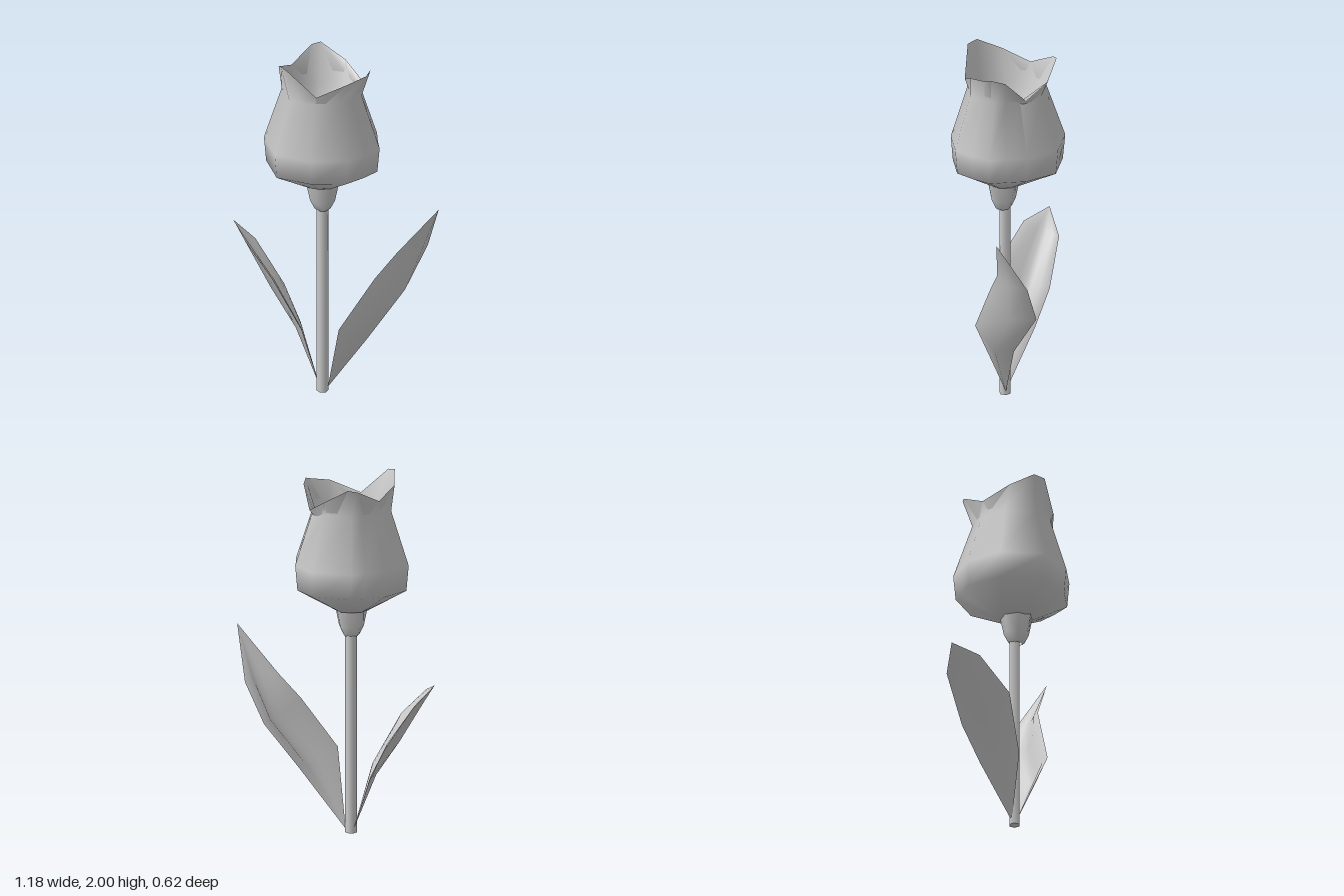
import * as THREE from 'three';
import { toCreasedNormals } from 'three/addons/utils/BufferGeometryUtils.js';

const material = new THREE.MeshStandardMaterial({ color: 0xcccccc, side: THREE.DoubleSide });
const V = (p) => new THREE.Vector3(...p);

// Skin a stack of closed rings (arrays of Vector3), skipping collapsed triangles
function loft(name, rings) {
  const n = rings[0].length;
  const points = rings.flat();
  const index = [];
  const tri = (a, b, c) => {
    const [p, q, r] = [points[a], points[b], points[c]];
    if (p.distanceTo(q) > 1e-6 && q.distanceTo(r) > 1e-6 && r.distanceTo(p) > 1e-6) index.push(a, b, c);
  };
  for (let j = 0; j < rings.length - 1; j++) {
    for (let i = 0; i < n; i++) {
      const a = j * n + i, b = j * n + (i + 1) % n;
      tri(a, a + n, b);
      tri(b, a + n, b + n);
    }
  }
  const geometry = new THREE.BufferGeometry().setFromPoints(points);
  geometry.setIndex(index);
  const mesh = new THREE.Mesh(toCreasedNormals(geometry, 1.4), material);
  mesh.name = name;
  return mesh;
}

// Leaf from [edge, keel, edge] stations: rounded outside, bordered trough inside
function leaf(name, base, stations, tip) {
  const rings = stations.map((s) => {
    const [p, keel, q] = s.map(V);
    const mid = p.clone().lerp(q, 0.5);
    const floor = mid.clone().lerp(keel, 0.6);
    const border = (e) => e.clone().lerp(mid, 0.35);
    const trough = (e) => e.clone().lerp(mid, 0.5).lerp(keel, 0.5);
    return [p, keel, q, border(q), trough(q), floor, trough(p), border(p)];
  });
  const point = (p) => Array.from({ length: 8 }, () => V(p));
  return loft(name, [point(base), ...rings, point(tip)]);
}

// Blossom columns: belly [x, z] and rim [x, y, z], going round from +x to +z
const columns = [
  [0.305, -0.02, 0.25, 1.95, -0.01],
  [0.275, 0.09, 0.245, 1.94, 0.03],
  [0.225, 0.21, 0.185, 1.92, 0.135],
  [0.045, 0.305, 0.04, 1.85, 0.225],
  [-0.06, 0.307, -0.11, 1.99, 0.265],
  [-0.17, 0.31, -0.17, 2.0, 0.235],
  [-0.33, 0.12, -0.24, 1.94, 0.12],
  [-0.32, -0.1, -0.245, 1.88, -0.05],
  [-0.25, -0.2, -0.2, 1.95, -0.2],
  [-0.2, -0.27, -0.16, 1.96, -0.235],
  [0.03, -0.315, -0.01, 1.88, -0.24],
  [0.2, -0.2, 0.13, 1.81, -0.165],
  [0.255, -0.1, 0.22, 1.93, -0.08],
];

function blossom() {
  const cx = -0.03, cz = 0.02;
  const ring = (y, s) => columns.map(([x, z]) => V([cx + (x - cx) * s, y, cz + (z - cz) * s]));
  const rim = columns.map(([, , x, y, z]) => V([x, y, z]));
  const group = new THREE.Group();
  group.name = 'blossom';
  group.add(
    loft('outerPetals', [ring(1.24, 0), ring(1.24, 0.28), ring(1.36, 0.96), ring(1.5, 1), ring(1.8, 0.69), rim]),
    loft('innerPetals', [rim, ring(1.75, 0.62), ring(1.6, 0.55), ring(1.5, 0.3), ring(1.48, 0)]),
  );
  return group;
}

export function createModel() {
  const model = new THREE.Group();
  model.name = 'tulip';

  // Stem
  const stem = new THREE.Mesh(new THREE.CylinderGeometry(0.032, 0.032, 1.12, 6), material);
  stem.name = 'stem';
  stem.position.set(-0.025, 0.56, 0.015);

  // Flared cup under the blossom
  const profile = [[0.032, 1.09], [0.045, 1.1], [0.07, 1.15], [0.093, 1.26]];
  const calyx = new THREE.Mesh(
    new THREE.LatheGeometry(profile.map(([r, y]) => new THREE.Vector2(r, y)), 7), material);
  calyx.name = 'calyx';
  calyx.position.set(-0.02, 0, 0.025);

  // Tall leaf on the left, shorter one on the right, both turned a little to the back
  const leftLeaf = leaf('leftLeaf', [0, 0.02, 0], [
    [[0.22, 0.36, -0.13], [0.225, 0.34, -0.02], [0.13, 0.44, 0.13]],
    [[0.335, 0.62, -0.305], [0.385, 0.61, -0.17], [0.28, 0.72, -0.01]],
    [[0.46, 0.84, -0.3], [0.475, 0.86, -0.2], [0.375, 0.86, -0.09]],
  ], [0.59, 1.13, -0.17]);
  const rightLeaf = leaf('rightLeaf', [-0.045, 0.02, 0.01], [
    [[-0.11, 0.38, 0.1], [-0.19, 0.34, 0.01], [-0.21, 0.33, -0.09]],
    [[-0.27, 0.67, 0.14], [-0.35, 0.55, 0], [-0.33, 0.52, -0.13]],
    [[-0.47, 0.835, 0.075], [-0.51, 0.78, -0.02], [-0.5, 0.76, -0.12]],
  ], [-0.59, 0.89, -0.03]);

  model.add(stem, calyx, blossom(), leftLeaf, rightLeaf);
  return model;
}
